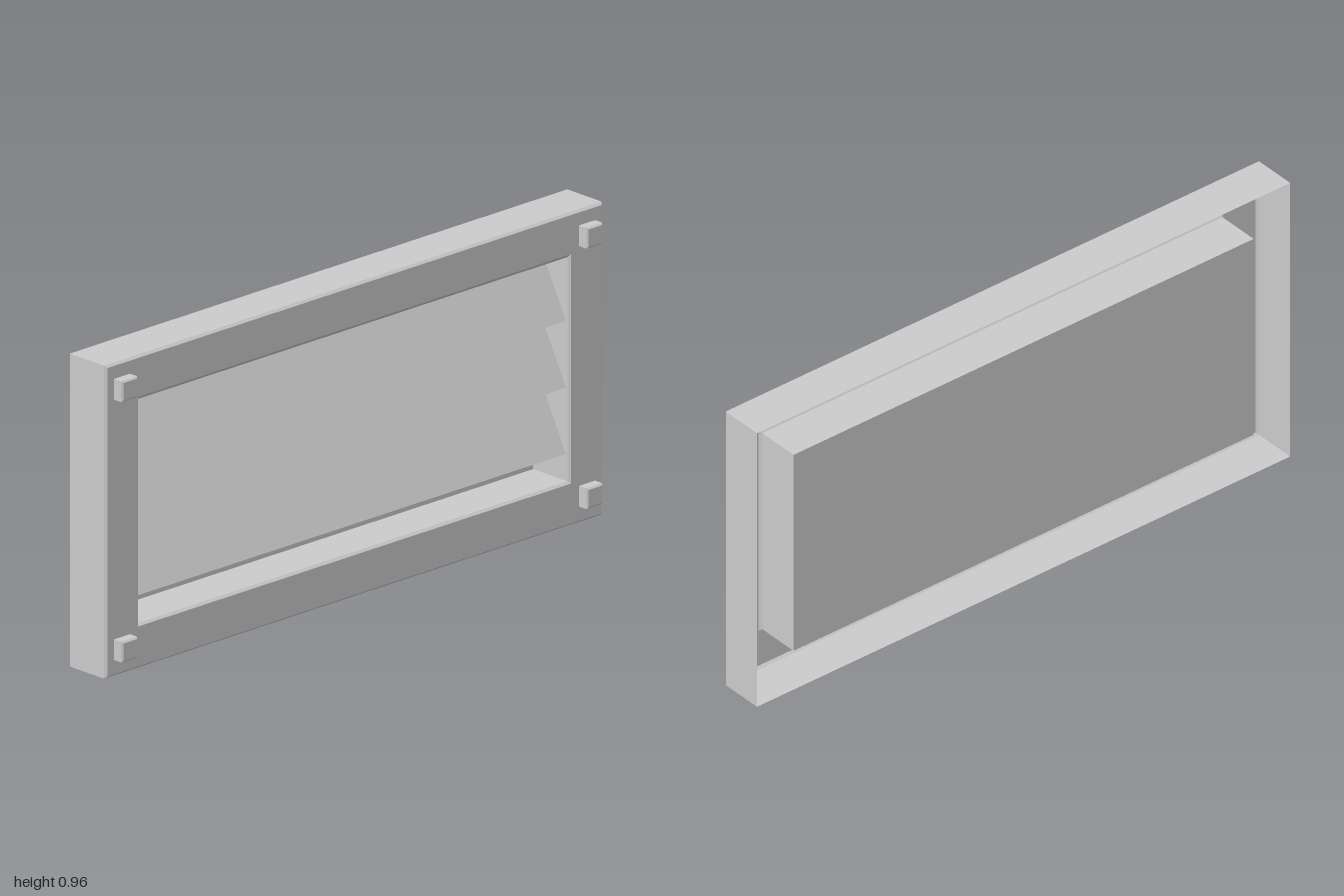
import * as THREE from 'three';

const material = new THREE.MeshStandardMaterial({
  color: 0xcccccc, flatShading: true, side: THREE.DoubleSide,
});

const BACK = -0.0925, FRONT = 0.058, CHAMFER = 0.05;

// Skin over rectangular rings [halfWidth, bottom, top, z]; optionally close the last ring
function ringSkin(rings, capEnd) {
  const points = [];
  const corners = rings.map(([w, b, t, z]) => [[-w, b, z], [w, b, z], [w, t, z], [-w, t, z]]);
  const quad = (a, b, c, d) => points.push(...a, ...b, ...c, ...a, ...c, ...d);
  for (let i = 0; i < corners.length - 1; i++) {
    for (let k = 0; k < 4; k++) {
      const n = (k + 1) % 4;
      quad(corners[i][k], corners[i][n], corners[i + 1][n], corners[i + 1][k]);
    }
  }
  if (capEnd) quad(...corners[corners.length - 1]);
  const geometry = new THREE.BufferGeometry();
  geometry.setAttribute('position', new THREE.Float32BufferAttribute(points, 3));
  geometry.computeVertexNormals();
  return geometry;
}

export function createModel() {
  const group = new THREE.Group();
  const add = (name, geometry, x = 0, y = 0, z = 0) => {
    const mesh = new THREE.Mesh(geometry, material);
    mesh.name = name;
    mesh.position.set(x, y, z);
    group.add(mesh);
  };

  // Thin frame, open at the back, with chamfered outer and inner edges
  add('frame', ringSkin([
    [1, 0, 0.965, BACK],
    [1, 0, 0.965, CHAMFER],
    [0.993, 0.007, 0.958, FRONT],
    [0.87, 0.13, 0.838, FRONT],
    [0.863, 0.137, 0.828, CHAMFER],
  ], false));

  // Closed box behind the opening
  add('recessBox', ringSkin([
    [0.863, 0.137, 0.828, CHAMFER],
    [0.863, 0.137, 0.828, BACK],
  ], true));

  // Three slanted slats, parallelogram in section
  const section = new THREE.Shape([
    [-0.09, 0.17], [0, 0], [0.045, 0], [-0.045, 0.17],
  ].map(([z, y]) => new THREE.Vector2(z, y)));
  const slat = new THREE.ExtrudeGeometry(section, { depth: 1.724, bevelEnabled: false });
  slat.rotateY(-Math.PI / 2).translate(0.862, 0, 0);
  for (let i = 0; i < 3; i++) add('slat', slat, 0, 0.63 - 0.205 * i, 0);

  // Bevelled square studs at the corners
  const s = 0.027, bevel = 0.005;
  const square = new THREE.Shape([
    [-s, -s], [s, -s], [s, s], [-s, s],
  ].map(([x, y]) => new THREE.Vector2(x, y)));
  const stud = new THREE.ExtrudeGeometry(square, {
    depth: 0.0375, bevelSize: bevel, bevelThickness: bevel, bevelSegments: 1,
  });
  for (const x of [-0.935, 0.935]) {
    for (const y of [0.083, 0.886]) add('cornerStud', stud, x, y, 0.05);
  }

  return group;
}
